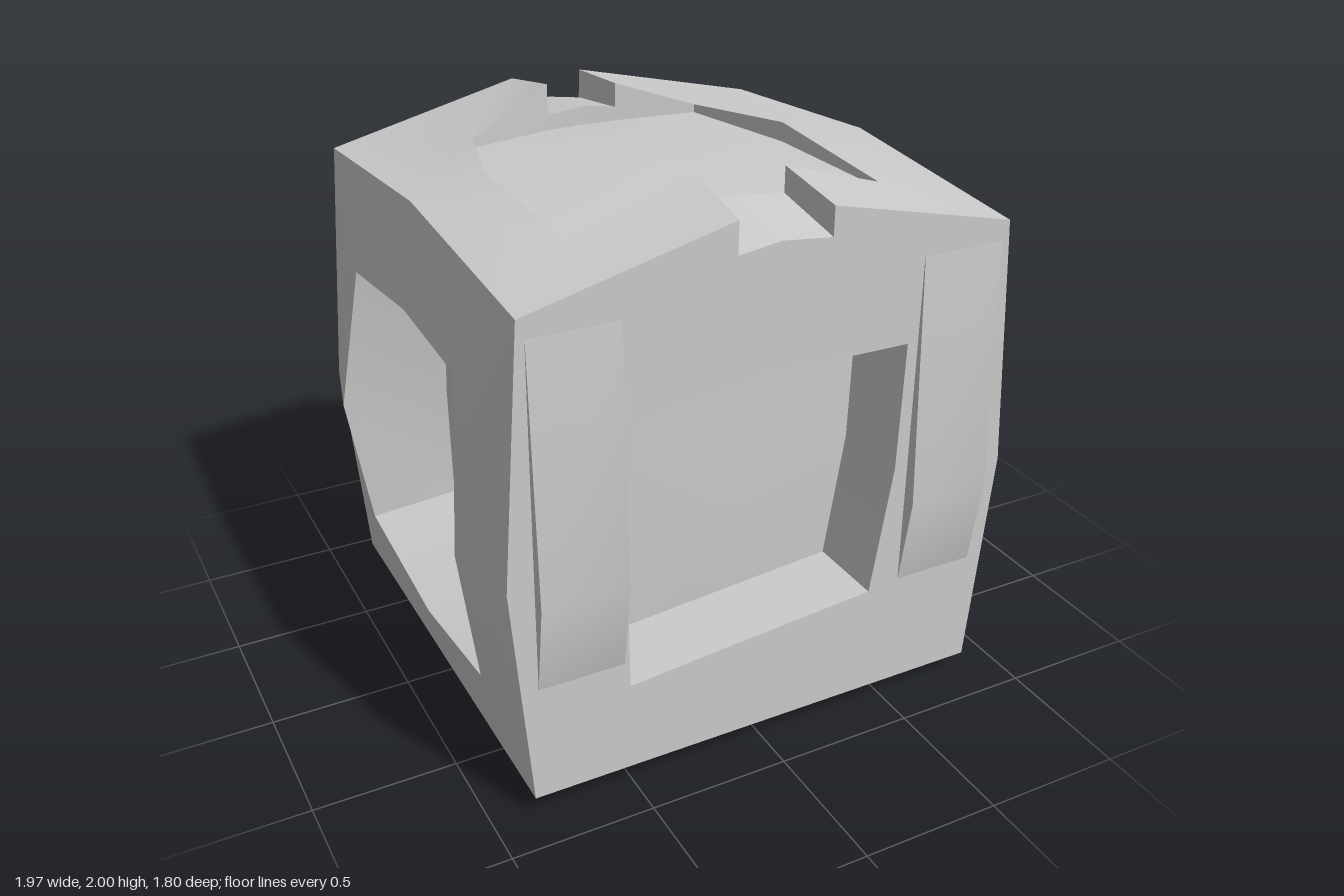
import * as THREE from 'three';
import { toCreasedNormals } from 'three/addons/utils/BufferGeometryUtils.js';

const material = new THREE.MeshStandardMaterial({ color: 0xcccccc });

// Face-local (u right, v up, h outward) to model space
const place = {
  front: (u, v, h) => [u, v, h],
  back: (u, v, h) => [-u, v, -h],
  right: (u, v, h) => [h, v, -u],
  left: (u, v, h) => [-h, v, u],
  top: (u, v, h) => [u, h, -v],
  bottom: (u, v, h) => [u, -h, v],
};

const distance = (a, b) => Math.hypot(a[0] - b[0], a[1] - b[1], a[2] - b[2]);

// Joins matching counter-clockwise loops, then closes the last one with a fan
function loopSurface(loops, centre, map) {
  const pos = [];
  const tri = (...pts) => {
    const [a, b, c] = pts.map((p) => new THREE.Vector3(...map(...p)));
    const area = b.clone().sub(a).cross(c.clone().sub(a)).length();
    if (area > 1e-7) for (const p of [a, b, c]) pos.push(p.x, p.y, p.z);
  };
  const n = loops[0].length;
  for (let i = 0; i < n; i++) {
    const j = (i + 1) % n;
    for (let k = 0; k + 1 < loops.length; k++) {
      const o = loops[k], w = loops[k + 1];
      // split each quad along its shorter diagonal
      if (distance(o[i], w[j]) < distance(o[j], w[i])) {
        tri(o[i], o[j], w[j]);
        tri(o[i], w[j], w[i]);
      } else {
        tri(o[i], o[j], w[i]);
        tri(o[j], w[j], w[i]);
      }
    }
    const last = loops[loops.length - 1];
    if (centre) tri(last[i], last[j], centre);
  }
  const g = new THREE.BufferGeometry();
  g.setAttribute('position', new THREE.Float32BufferAttribute(pos, 3));
  return toCreasedNormals(g, 0.4);
}

function add(parent, name, geometry) {
  const mesh = new THREE.Mesh(geometry, material);
  mesh.name = name;
  parent.add(mesh);
  return mesh;
}

// One bulging frame with its opening, and the recess and panel behind it
function addFace(parent, name, side, outer, hole, { cv, floor, dome = floor, taper = 1 }) {
  const group = new THREE.Group();
  group.name = name;
  const inner = hole.map(([u, v]) => [u * taper, cv + (v - cv) * taper, floor]);
  add(group, name + 'Frame', loopSurface([outer, hole], null, place[side]));
  add(group, name + 'Recess', loopSurface([hole, inner], null, place[side]));
  add(group, name + 'Panel', loopSurface([inner], [0, cv, dome], place[side]));
  parent.add(group);
}

export function createModel() {
  const model = new THREE.Group();
  model.name = 'bulgingCube';
  const E = 0.855, LO = 0.07, HI = 1.77, MID = 0.88;

  // Top: raised rim split by a channel with an arched floor at the front and back
  addFace(model, 'top', 'top',
    [[-E, -E, HI], [-0.15, -E, 1.94], [-0.15, -E, 1.83], [0, -E, 1.85], [0.18, -E, 1.83],
      [0.18, -E, 1.93], [E, -E, HI], [E, 0, 1.84], [E, E, HI], [0.13, E, 1.94], [0.13, E, 1.83],
      [0, E, 1.85], [-0.15, E, 1.83], [-0.15, E, 1.94], [-E, E, HI], [-E, 0, 1.84]],
    [[-0.565, -0.555, 1.85], [-0.15, -0.57, 2], [-0.15, -0.57, 1.885], [0, -0.57, 1.9],
      [0.18, -0.57, 1.88], [0.18, -0.57, 1.97], [0.555, -0.545, 1.85], [0.535, 0.02, 1.9],
      [0.43, 0.48, 1.86], [0.12, 0.52, 1.97], [0.12, 0.52, 1.88], [0, 0.525, 1.9],
      [-0.15, 0.52, 1.885], [-0.15, 0.52, 2], [-0.47, 0.45, 1.86], [-0.6, 0, 1.9]],
    { cv: 0, floor: 1.83, dome: 1.87 });

  // Front: flat frame, top edge following the channel
  addFace(model, 'front', 'front',
    [[-E, LO, E], [0, LO, E], [E, LO, E], [0.92, MID, E], [E, HI, E], [0.18, 1.93, E],
      [0.18, 1.83, E], [0, 1.85, E], [-0.15, 1.83, E], [-0.15, 1.94, E], [-E, HI, E],
      [-0.92, MID, E]],
    [[-0.51, 0.4, E], [-0.19, 0.43, E], [0.41, 0.48, E], [0.48, 0.95, E], [0.49, 1.41, E],
      [0.18, 1.415, E], [0.18, 1.415, E], [0, 1.42, E], [-0.15, 1.4, E], [-0.15, 1.4, E],
      [-0.47, 1.36, E], [-0.52, 1, E]],
    { cv: 0.86, floor: 0.58, dome: 0.6, taper: 0.975 });

  // Back: bulged frame with a deep recess
  addFace(model, 'back', 'back',
    [[-E, LO, E], [0, LO, E], [E, LO, E], [0.92, MID, E], [E, HI, E], [0.15, 1.94, E],
      [0.15, 1.83, E], [0, 1.85, E], [-0.13, 1.83, E], [-0.13, 1.94, E], [-E, HI, E],
      [-0.92, MID, E]],
    [[-0.48, 0.4, 0.89], [0, 0.37, 0.9], [0.53, 0.36, 0.89], [0.53, MID, 0.9],
      [0.48, 1.37, 0.89], [0.15, 1.42, 0.9], [0.15, 1.42, 0.9], [0, 1.44, 0.9],
      [-0.13, 1.43, 0.9], [-0.13, 1.43, 0.9], [-0.55, 1.41, 0.89], [-0.53, MID, 0.9]],
    { cv: 0.9, floor: 0.5, taper: 0.95 });

  // Left and right: the same face turned half round
  for (const side of ['right', 'left']) {
    addFace(model, side === 'right' ? 'leftSide' : 'rightSide', side,
      [[-E, LO, E], [0, LO, E], [E, LO, E], [E, MID, 0.92], [E, HI, E], [0, 1.84, E],
        [-E, HI, E], [-E, MID, 0.92]],
      [[-0.57, 0.375, 0.91], [0.05, 0.32, 0.915], [0.55, 0.375, 0.91], [0.59, 0.89, 0.985],
        [0.47, 1.45, 0.91], [0.03, 1.49, 0.915], [-0.51, 1.42, 0.91], [-0.585, 0.87, 0.985]],
      { cv: 0.98, floor: 0.6, taper: 0.9 });
  }

  // Bottom: shallow opening
  addFace(model, 'bottom', 'bottom',
    [[-E, -E, -LO], [0, -E, -LO], [E, -E, -LO], [E, 0, -LO], [E, E, -LO], [0, E, -LO],
      [-E, E, -LO], [-E, 0, -LO]],
    [[-0.52, -0.4, 0], [-0.05, -0.47, 0], [0.37, -0.44, 0], [0.47, 0, 0], [0.52, 0.57, 0],
      [0, 0.59, 0], [-0.57, 0.57, 0], [-0.57, 0, 0]],
    { cv: 0, floor: -0.09 });

  // Octagonal knob in the back recess
  const knobGeometry = new THREE.CylinderGeometry(0.4, 0.42, 0.28, 8).rotateX(-Math.PI / 2);
  const knob = add(model, 'knob', toCreasedNormals(knobGeometry, 1));
  knob.position.set(-0.01, 0.84, -0.64);

  // Thin bowed strips on either side of the front opening
  const bow = new THREE.Shape([[0.84, 0.45], [0.856, 0.5], [0.903, 0.82], [0.857, 1.7], [0.84, 1.7]]
    .map(([z, y]) => new THREE.Vector2(-z, y)));
  for (const x of [-0.83, 0.53]) {
    const strip = new THREE.ExtrudeGeometry(bow, { depth: 0.3, bevelEnabled: false });
    const mesh = add(model, 'frontStrip', toCreasedNormals(strip.rotateY(Math.PI / 2), 0.4));
    mesh.position.x = x;
  }
  return model;
}
